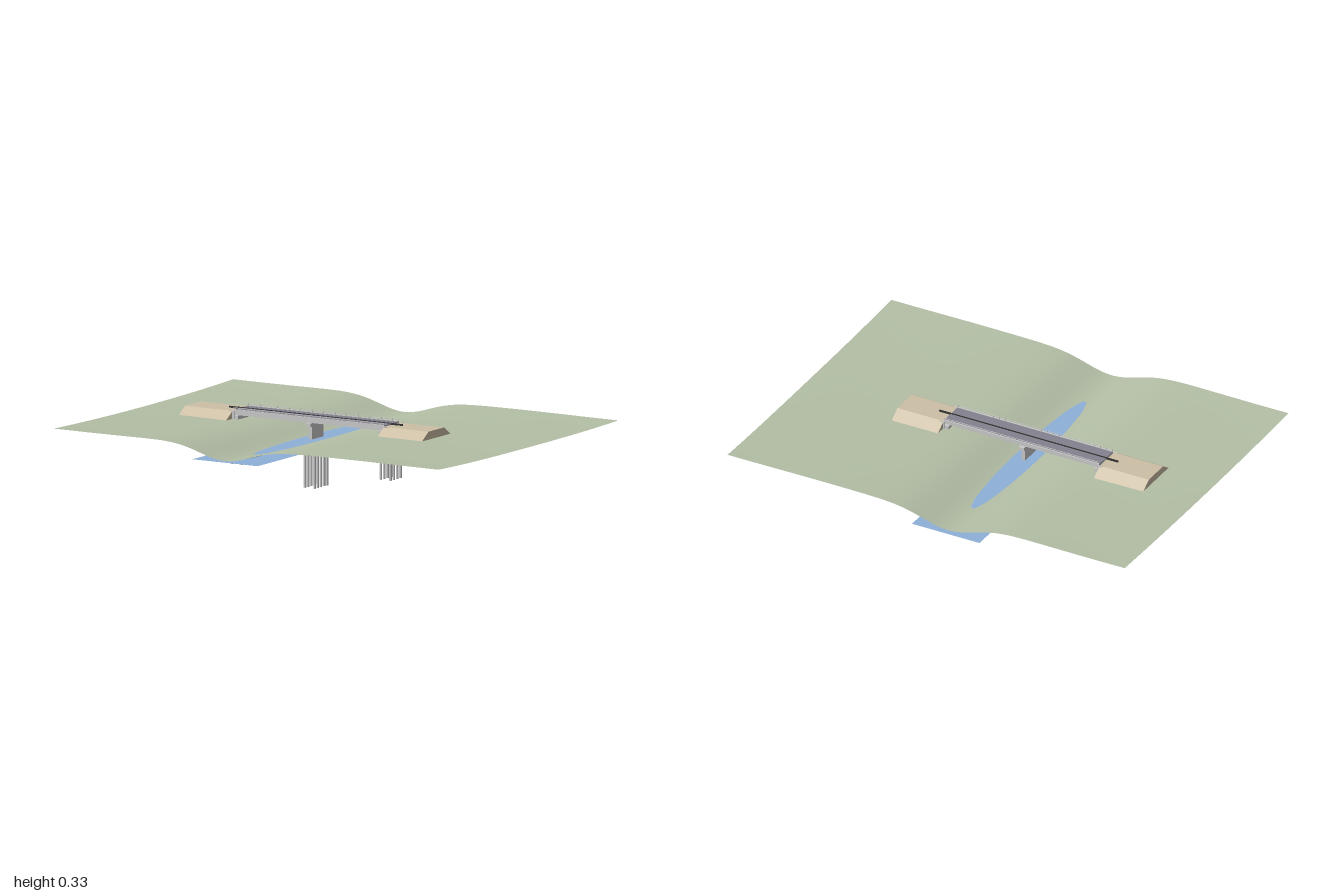
import * as THREE from 'three';

const mat = (color, side = THREE.FrontSide) => new THREE.MeshStandardMaterial({ color, side });
const concrete = mat(0xcccccc);

export function createModel() {
  const model = new THREE.Group();

  const add = (name, geometry, material, parent = model) => {
    const mesh = new THREE.Mesh(geometry, material);
    mesh.name = name;
    parent.add(mesh);
    return mesh;
  };
  // Box given by its limits on each axis
  const block = (name, [x0, x1], [y0, y1], [z0, z1], material = concrete, parent = model) => {
    const mesh = add(name, new THREE.BoxGeometry(x1 - x0, y1 - y0, z1 - z0), material, parent);
    mesh.position.set((x0 + x1) / 2, (y0 + y1) / 2, (z0 + z1) / 2);
    return mesh;
  };

  // Terrain: gentle rise towards both ends, with a valley for the river
  const ground = new THREE.PlaneGeometry(2, 1.5, 100, 60).rotateX(-Math.PI / 2).translate(0, 0, 0.01);
  const p = ground.attributes.position;
  for (let i = 0; i < p.count; i++) {
    const x = p.getX(i), z = p.getZ(i);
    const valley = Math.exp(-(((x + 0.11) / 0.18) ** 2));
    const ripple = 0.0012 * Math.sin(x * 7 + 1) * Math.cos(z * 5) * (1 - valley);
    p.setY(i, 0.277 + 0.022 * z * z - 0.065 * valley + ripple);
  }
  ground.computeVertexNormals();
  add('terrain', ground, mat(0xb4bfa6, THREE.DoubleSide));

  // River surface
  const river = new THREE.PlaneGeometry(0.34, 1.52).rotateX(-Math.PI / 2);
  add('river', river, mat(0x8fb0d8, THREE.DoubleSide)).position.set(-0.11, 0.218, 0);

  // Approach embankments with sloping sides
  const section = new THREE.Shape([
    new THREE.Vector2(-0.21, 0.215), new THREE.Vector2(0.21, 0.215),
    new THREE.Vector2(0.065, 0.312), new THREE.Vector2(-0.065, 0.312),
  ]);
  const earth = mat(0xcdbfa5);
  for (const [name, x0, x1] of [['rightEmbankment', -0.75, -0.503], ['leftEmbankment', 0.283, 0.515]]) {
    const g = new THREE.ExtrudeGeometry(section, { depth: x1 - x0, bevelEnabled: false });
    add(name, g.rotateY(Math.PI / 2).translate(x0, 0, 0), earth);
  }

  // Deck: slab, girders, road surface, kerbs
  const deck = new THREE.Group();
  deck.name = 'deck';
  model.add(deck);
  const span = [-0.5, 0.282];
  block('slab', span, [0.307, 0.315], [-0.064, 0.064], concrete, deck);
  block('roadSurface', span, [0.315, 0.317], [-0.058, 0.058], mat(0x858290), deck);
  for (const z of [-0.048, -0.024, 0, 0.024, 0.048]) {
    block('girder', span, [0.292, 0.307], [z - 0.004, z + 0.004], concrete, deck);
  }
  block('centreLine', [-0.56, 0.34], [0.312, 0.3195], [-0.003, 0.003], mat(0x333333), deck);

  // Railings with evenly spaced posts
  for (const side of [-1, 1]) {
    const railing = new THREE.Group();
    railing.name = side > 0 ? 'frontRailing' : 'backRailing';
    model.add(railing);
    const z = side * 0.061;
    block('kerb', span, [0.315, 0.319], [z - 0.003, z + 0.003], concrete, railing);
    block('topRail', span, [0.325, 0.327], [z - 0.001, z + 0.001], concrete, railing);
    for (let i = 0; i <= 26; i++) {
      const x = -0.498 + (i * 0.778) / 26;
      block('post', [x - 0.001, x + 0.001], [0.318, 0.329], [z - 0.001, z + 0.001], concrete, railing);
    }
  }

  // Two rows of round piles
  const piles = (parent, x, y0, y1, rows) => {
    for (const dx of [-0.025, 0.025]) {
      for (const z of rows) {
        const g = new THREE.CylinderGeometry(0.006, 0.006, y1 - y0, 16);
        add('pile', g, concrete, parent).position.set(x + dx, (y0 + y1) / 2, z);
      }
    }
  };

  // Abutments at both ends; `inward` points to the river
  for (const [name, x, inward] of [['rightAbutment', -0.495, 1], ['leftAbutment', 0.278, -1]]) {
    const abutment = new THREE.Group();
    abutment.name = name;
    model.add(abutment);
    block('footing', [x - 0.036, x + 0.036], [0.255, 0.268], [-0.062, 0.062], concrete, abutment);
    const stem = x + inward * 0.008;
    block('stem', [stem - 0.012, stem + 0.012], [0.268, 0.292], [-0.066, 0.066], concrete, abutment);
    const wall = x - inward * 0.01;
    for (const s of [-1, 1]) {
      const z = s * 0.067;
      block('wingWall', [wall - 0.012, wall + 0.012], [0.262, 0.313], [z - 0.003, z + 0.003], concrete, abutment);
    }
    piles(abutment, x, 0.07, 0.255, [-0.042, -0.014, 0.014, 0.042]);
  }

  // River pier: pile cap, wall column and crosshead
  const pier = new THREE.Group();
  pier.name = 'pier';
  model.add(pier);
  block('pileCap', [-0.152, -0.068], [0.19, 0.214], [-0.068, 0.068], concrete, pier);
  block('column', [-0.119, -0.101], [0.214, 0.278], [-0.05, 0.05], concrete, pier);
  block('crosshead', [-0.123, -0.097], [0.276, 0.292], [-0.068, 0.068], concrete, pier);
  piles(pier, -0.11, 0, 0.19, [-0.052, -0.026, 0, 0.026, 0.052]);

  return model;
}
